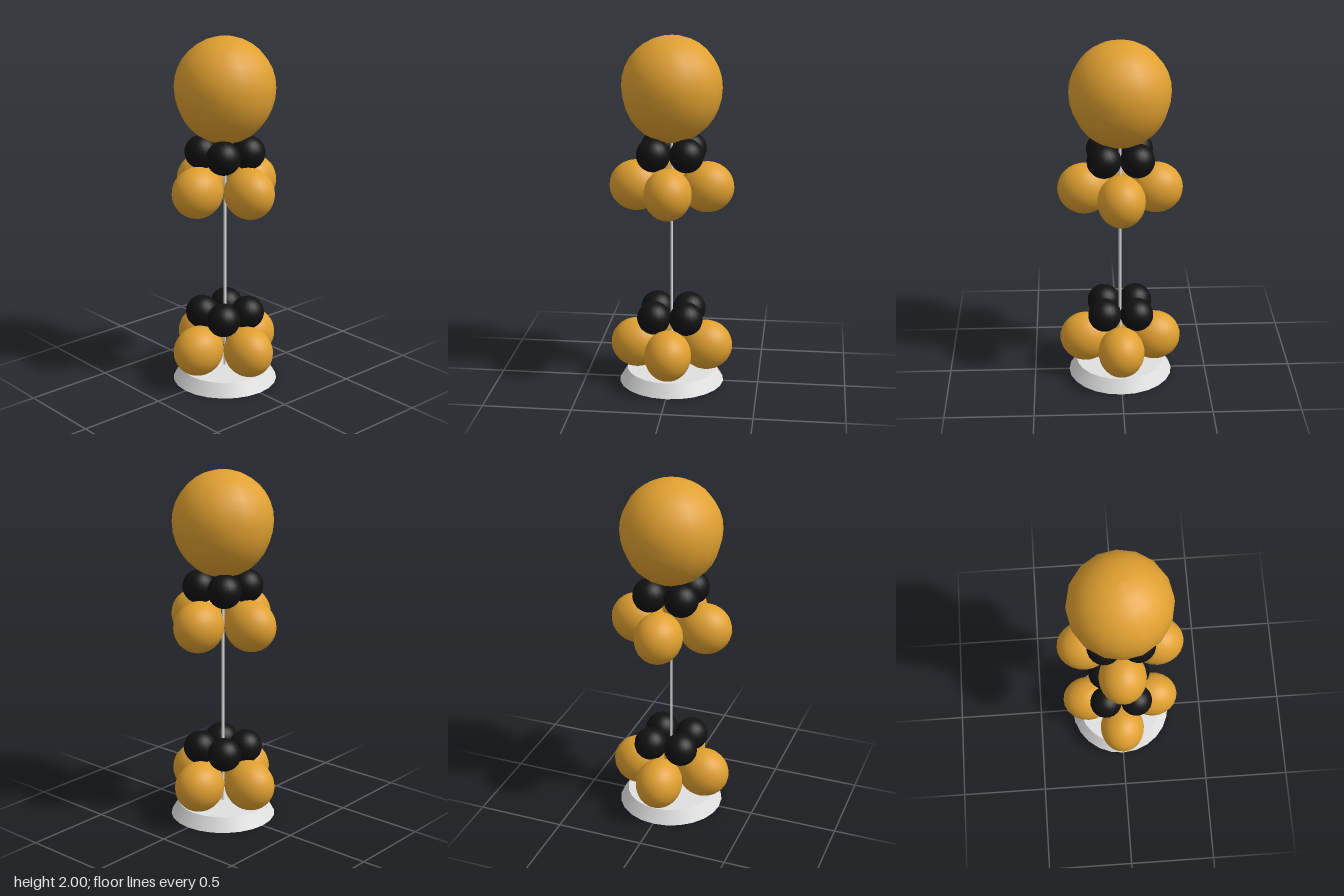
import * as THREE from 'three';

export function createModel() {
  const group = new THREE.Group();
  const gold = new THREE.MeshStandardMaterial({ color: 0xe0a030 });
  gold.name = 'gold';
  const black = new THREE.MeshStandardMaterial({ color: 0x111111 });
  black.name = 'black';
  const white = new THREE.MeshStandardMaterial({ color: 0xe0e0e0 });
  white.name = 'white';

  function add(name, geometry, material, x, y, z) {
    const mesh = new THREE.Mesh(geometry, material);
    mesh.name = name;
    mesh.position.set(x, y, z);
    group.add(mesh);
    return mesh;
  }

  // Weighted base and thin pole
  add('base', new THREE.CylinderGeometry(0.255, 0.3, 0.075, 24), white, 0, 0.0375, 0);
  add('pole', new THREE.CylinderGeometry(0.008, 0.008, 1.37, 12), white, 0, 0.755, 0);

  // Large balloon: round above, slightly tapered below
  const profile = [];
  const steps = 16;
  for (let i = 0; i <= steps; i++) {
    const a = -Math.PI / 2 + (Math.PI * i) / steps;
    const height = a < 0 ? 0.31 : 0.28;
    profile.push(new THREE.Vector2(Math.max(0, 0.28 * Math.cos(a)), height * Math.sin(a)));
  }
  add('topBalloon', new THREE.LatheGeometry(profile, 16), gold, 0, 1.72, 0);

  // Two tiers: four gold balloons on the axes, four black ones on the diagonals
  const goldBall = new THREE.SphereGeometry(1, 24, 18);
  goldBall.scale(0.132, 0.143, 0.15);
  const blackBall = new THREE.SphereGeometry(0.095, 20, 16);
  [[0.22, 0.405], [1.16, 1.355]].forEach(([goldY, blackY]) => {
    for (let i = 0; i < 4; i++) {
      const a = (i * Math.PI) / 2;
      const b = a + Math.PI / 4;
      add('goldBalloon', goldBall, gold, 0.2 * Math.sin(a), goldY, 0.2 * Math.cos(a)).rotation.y = a;
      add('blackBalloon', blackBall, black, 0.13 * Math.sin(b), blackY, 0.13 * Math.cos(b)).rotation.y = b;
    }
  });

  return group;
}
